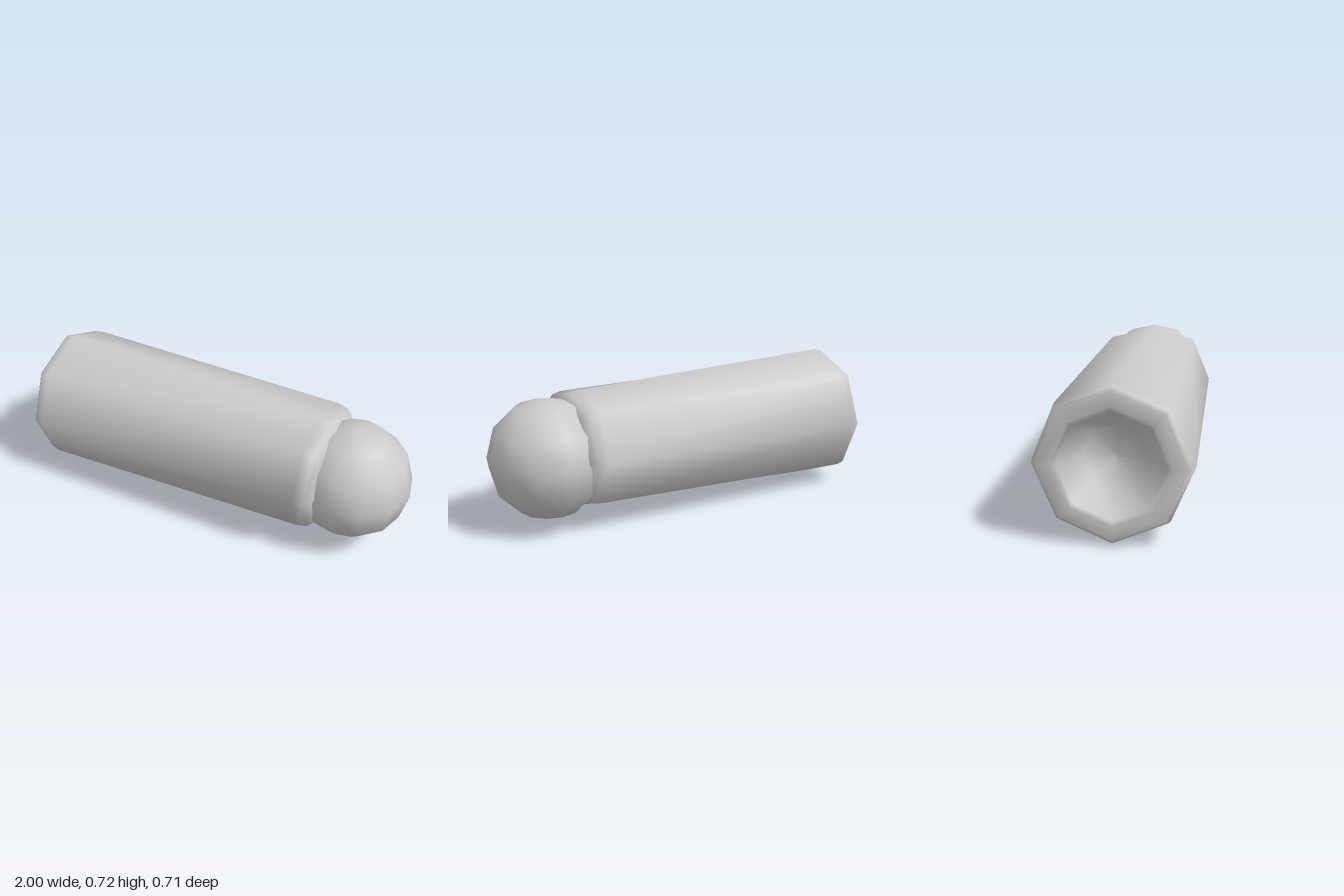
import * as THREE from 'three';

const SIDES = 8;

// Cross-sections as [z, y], starting at the top and turning towards +z.
const WIDE = [[0, .722], [.25, .62], [.356, .362], [.25, .11], [0, .001], [-.25, .11], [-.356, .362], [-.25, .62]];
const NARROW = [[-.01, .67], [.22, .615], [.315, .385], [.22, .16], [-.01, .075], [-.245, .16], [-.34, .385], [-.245, .615]];

// Skin a body through rings of [x, section, centre z, centre y, scale].
function loft(rings) {
  const positions = [], index = [];
  for (const [x, section, cz, cy, s] of rings) {
    for (const [z, y] of section) positions.push(x, cy + (y - cy) * s, cz + (z - cz) * s);
  }
  for (let i = 0; i < rings.length - 1; i++) {
    for (let j = 0; j < SIDES; j++) {
      const k = (j + 1) % SIDES;
      const a = i * SIDES + j, b = i * SIDES + k;
      const c = a + SIDES, d = b + SIDES;
      index.push(a, b, c, b, d, c);
    }
  }
  const geometry = new THREE.BufferGeometry();
  geometry.setAttribute('position', new THREE.Float32BufferAttribute(positions, 3));
  geometry.setIndex(index);
  geometry.computeVertexNormals();
  return geometry;
}

export function createModel() {
  const group = new THREE.Group();
  const material = new THREE.MeshStandardMaterial({ color: 0xcccccc });

  // Tapered segment: dished base, rounded rim, long sides, rounded tip
  const wide = (x, s) => [x, WIDE, 0, .362, s];
  const narrow = (x, s) => [x, NARROW, -.012, .375, s];
  const segment = new THREE.Mesh(loft([
    wide(-.85, .01), wide(-.87, .42), wide(-.99, .68), wide(-1, .74),
    wide(-1, .92), wide(-.985, .97), wide(-.94, 1),
    narrow(.52, 1), narrow(.57, .96), narrow(.6, .87), narrow(.61, .76), narrow(.61, .01),
  ]), material);
  segment.name = 'taperedSegment';
  group.add(segment);

  // Ball joint set into the narrow end
  const ball = new THREE.Mesh(new THREE.SphereGeometry(.3, 12, 6), material);
  ball.name = 'ballJoint';
  ball.position.set(.7, .358, -.025);
  group.add(ball);

  return group;
}
